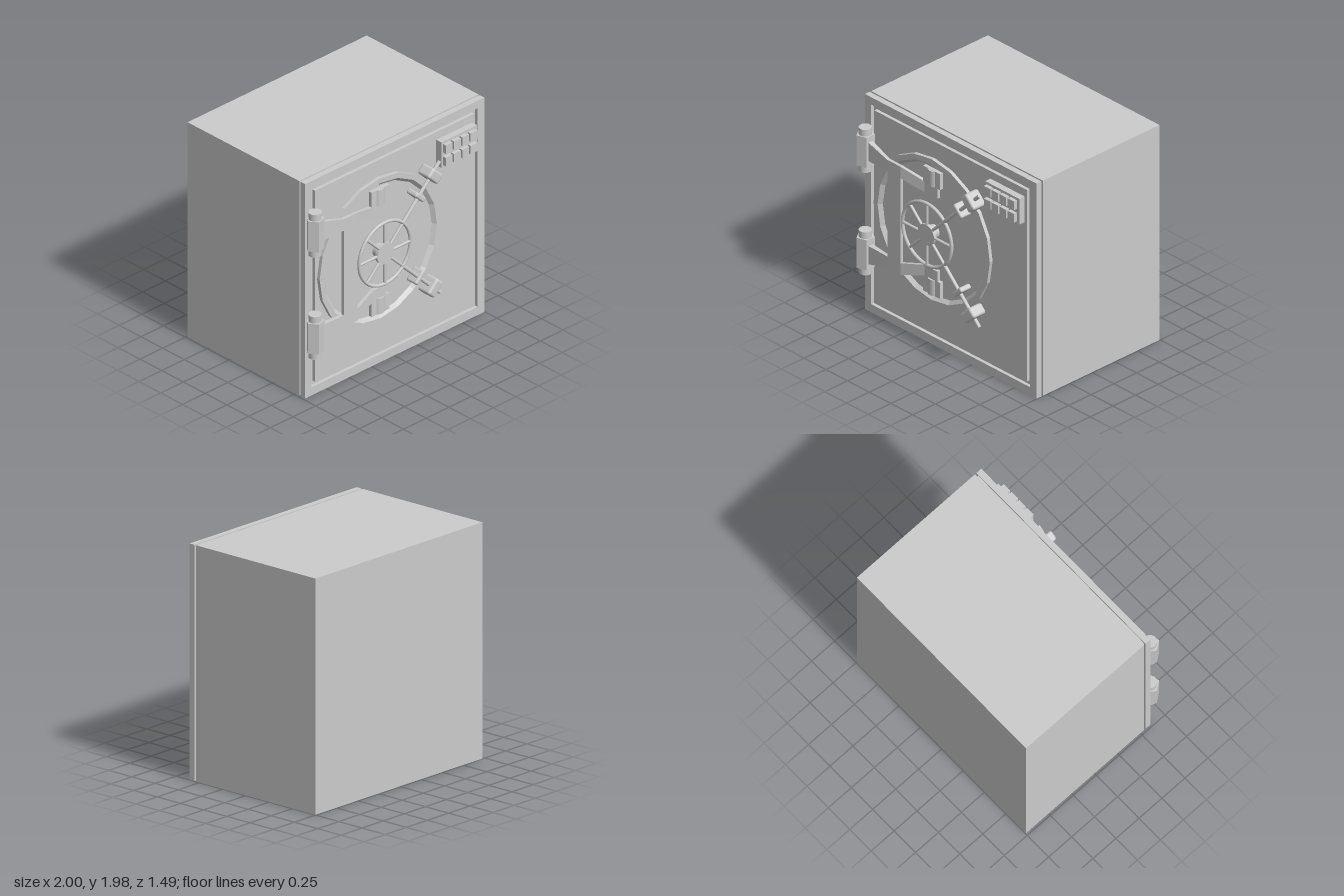
import * as THREE from 'three';
import { RoundedBoxGeometry } from 'three/addons/geometries/RoundedBoxGeometry.js';

const smooth = new THREE.MeshStandardMaterial({ color: 0xcccccc });
const flat = new THREE.MeshStandardMaterial({ color: 0xcccccc, flatShading: true });
const CX = -0.18, CY = 1.053; // centre of the wheel and ring

function add(parent, name, geometry, x, y, z, material = smooth) {
  const mesh = new THREE.Mesh(geometry, material);
  mesh.name = name;
  mesh.position.set(x, y, z);
  parent.add(mesh);
  return mesh;
}

// Box given by its limits on each axis
function slab(parent, name, x0, x1, y0, y1, z0, z1) {
  return add(parent, name, new THREE.BoxGeometry(x1 - x0, y1 - y0, z1 - z0),
    (x0 + x1) / 2, (y0 + y1) / 2, (z0 + z1) / 2);
}

// Solid through rectangular sections [x, yLow, yHigh, zBack, zFront], ordered by x
function loft(sections) {
  const corners = sections.map(([x, a, b, c, d]) => [[x, a, c], [x, b, c], [x, b, d], [x, a, d]]);
  const out = [];
  const quad = (a, b, c, d) => out.push(...a, ...b, ...c, ...a, ...c, ...d);
  for (let i = 0; i + 1 < corners.length; i++) {
    const p = corners[i], q = corners[i + 1];
    for (let k = 0; k < 4; k++) {
      const n = (k + 1) % 4;
      quad(p[k], p[n], q[n], q[k]);
    }
  }
  const s = corners[0], e = corners[corners.length - 1];
  quad(s[3], s[2], s[1], s[0]);
  quad(e[0], e[1], e[2], e[3]);
  const geometry = new THREE.BufferGeometry();
  geometry.setAttribute('position', new THREE.Float32BufferAttribute(out, 3));
  geometry.computeVertexNormals();
  return geometry;
}

function rectPath(Type, x0, x1, y0, y1) {
  const path = new Type();
  path.moveTo(x0, y0);
  path.lineTo(x1, y0);
  path.lineTo(x1, y1);
  path.lineTo(x0, y1);
  path.closePath();
  return path;
}

export function createModel() {
  const model = new THREE.Group();
  model.name = 'safe';

  // Cabinet, recessed seam and front frame with a grooved door panel
  slab(model, 'cabinet', -0.98, 0.997, 0, 1.977, -0.745, 0.541);
  slab(model, 'seam', -0.96, 0.977, 0.02, 1.957, 0.541, 0.58);
  const frame = rectPath(THREE.Shape, -0.98, 0.997, 0, 1.977);
  frame.holes.push(rectPath(THREE.Path, -0.909, 0.923, 0.075, 1.909));
  add(model, 'frontFrame', new THREE.ExtrudeGeometry(frame, { depth: 0.053, bevelEnabled: false }), 0, 0, 0.556);
  slab(model, 'doorPanel', -0.872, 0.885, 0.111, 1.872, 0.57, 0.609);

  // Faceted ring around the lock
  const profile = [[0.67, 0], [0.67, 0.031], [0.623, 0.031], [0.594, 0]].map(([r, h]) => new THREE.Vector2(r, h));
  const ring = add(model, 'doorRing', new THREE.LatheGeometry(profile, 20), CX, CY, 0.609, flat);
  ring.rotation.x = Math.PI / 2;

  // Keypad
  const keypad = new THREE.Group();
  keypad.name = 'keypad';
  model.add(keypad);
  slab(keypad, 'keypadBase', 0.465, 0.86, 1.567, 1.802, 0.6, 0.667);
  for (let row = 0; row < 2; row++) {
    for (let col = 0; col < 4; col++) {
      add(keypad, 'key', new THREE.BoxGeometry(0.075, 0.077, 0.04), 0.521 + col * 0.0915, 1.626 + row * 0.115, 0.68);
    }
  }

  // Hand wheel
  const wheel = new THREE.Group();
  wheel.name = 'handWheel';
  wheel.position.set(CX, CY, 0.69);
  model.add(wheel);
  add(wheel, 'wheelRim', new THREE.TorusGeometry(0.282, 0.015, 10, 48), 0, 0, 0);
  add(wheel, 'wheelHub', new THREE.CylinderGeometry(0.094, 0.094, 0.026, 20), 0, 0, 0).rotation.x = Math.PI / 2;
  add(wheel, 'wheelShaft', new THREE.CylinderGeometry(0.06, 0.06, 0.085, 20), 0, 0, -0.045).rotation.x = Math.PI / 2;
  for (let i = 0; i < 8; i++) {
    const a = i * Math.PI / 4;
    add(wheel, 'wheelSpoke', new THREE.CylinderGeometry(0.013, 0.013, 0.2, 10),
      -Math.sin(a) * 0.18, Math.cos(a) * 0.18, 0).rotation.z = a;
  }

  // Parts mirrored above (+1) and below (-1) the wheel
  for (const side of [1, -1]) {
    const label = side > 0 ? 'upper' : 'lower';

    // Diagonal locking rod with its guide and end clamp
    const rod = new THREE.Group();
    rod.name = label + 'LockingRod';
    rod.position.set(CX, CY, 0.69);
    rod.rotation.z = side > 0 ? -Math.PI / 4 : -Math.PI * 3 / 4;
    model.add(rod);
    add(rod, 'rod', new THREE.CylinderGeometry(0.016, 0.016, 0.58, 12), 0, 0.565, 0);
    add(rod, 'rodGuide', new RoundedBoxGeometry(0.13, 0.045, 0.115, 3, 0.016), 0, 0.525, -0.027);
    add(rod, 'rodClamp', new RoundedBoxGeometry(0.15, 0.095, 0.14, 3, 0.022), 0, 0.73, -0.015);

    // Hinge: round pin through a five-sided knuckle
    const hinge = new THREE.Group();
    hinge.name = label + 'Hinge';
    hinge.position.set(-0.922, CY + side * 0.471, 0.661);
    model.add(hinge);
    add(hinge, 'hingePin', new THREE.CylinderGeometry(0.054, 0.054, 0.394, 20), 0, 0, 0);
    const knuckle = add(hinge, 'hingeKnuckle', new THREE.CylinderGeometry(0.078, 0.078, 0.276, 5), 0, 0, 0, flat);
    knuckle.rotation.y = -Math.PI / 2;

    // Bent, tapering arm from the hinge to the bracket on the door
    const span = (inner, outer) => [CY + side * inner, CY + side * outer].sort((a, b) => a - b);
    const arm = loft([
      [-0.87, ...span(0.391, 0.562), 0.64, 0.688],
      [-0.634, ...span(0.391, 0.497), 0.667, 0.694],
      [-0.484, ...span(0.391, 0.497), 0.667, 0.694],
      [-0.26, ...span(0.334, 0.433), 0.612, 0.642],
      [-0.113, ...span(0.334, 0.433), 0.612, 0.642],
    ]);
    add(model, label + 'HingeArm', arm, 0, 0, 0, flat);

    // Bracket with a rounded centre
    const bracket = new THREE.Group();
    bracket.name = label + 'Bracket';
    bracket.position.set(CX, CY + side * 0.5, 0.6);
    model.add(bracket);
    add(bracket, 'bracketPlate', new THREE.BoxGeometry(0.197, 0.146, 0.084), 0, 0, 0);
    add(bracket, 'bracketBarrel', new THREE.CylinderGeometry(0.06, 0.06, 0.142, 16), 0, 0, 0);
  }

  // Upright joining the two hinge arms
  slab(model, 'armUpright', -0.634, -0.484, CY - 0.391, CY + 0.391, 0.667, 0.694);
  return model;
}
